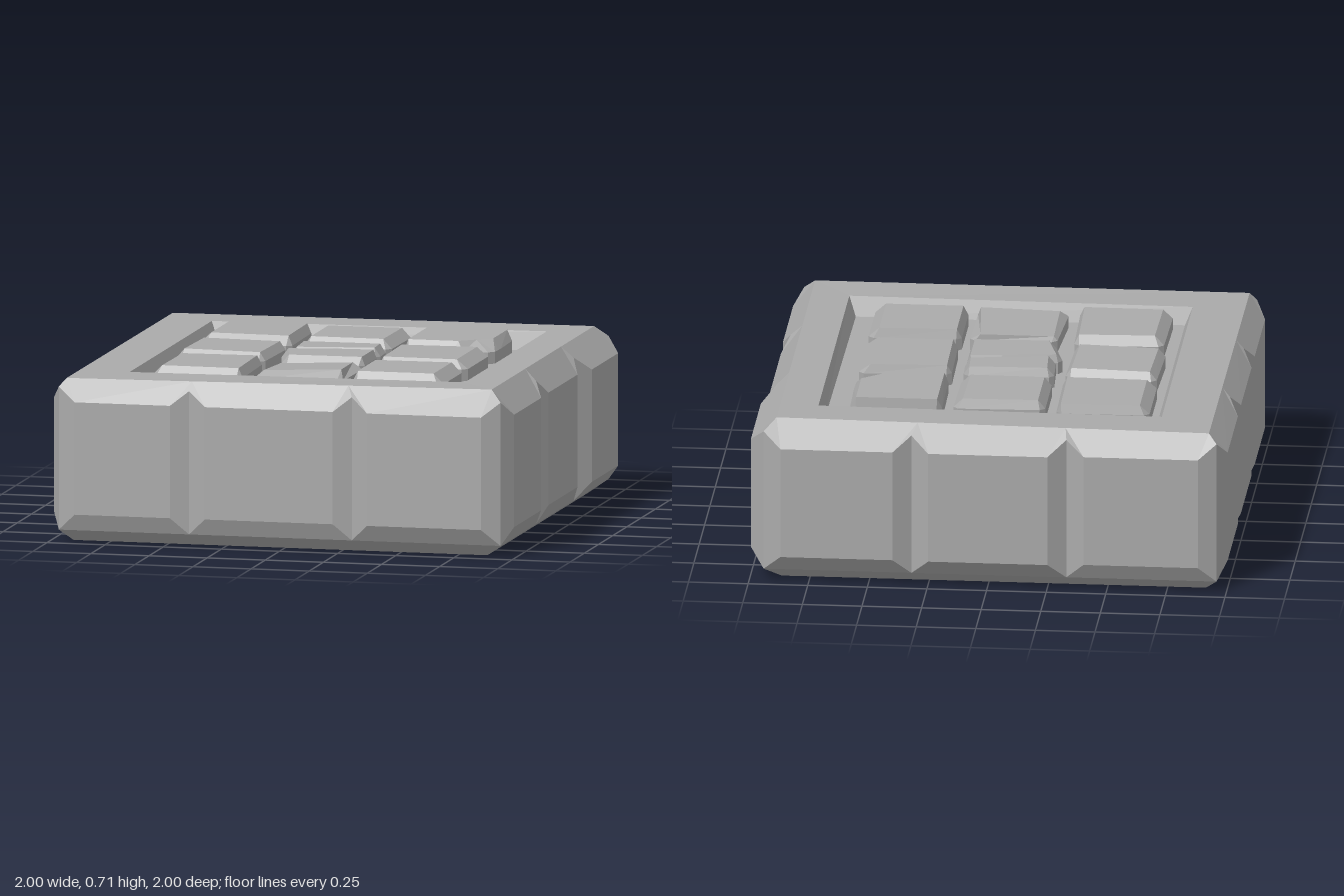
import * as THREE from 'three';

const stone = new THREE.MeshStandardMaterial({ color: 0xaaaaaa });
stone.name = 'grey stone';

// Skin a stack of equal-length loops (counter-clockwise from above, low to high) with flat faces.
function loft(name, loops, capBottom, capTop) {
  const pos = [];
  const [a, b, c] = [new THREE.Vector3(), new THREE.Vector3(), new THREE.Vector3()];
  const tri = (p, q, r) => {
    a.set(...p); b.set(...q); c.set(...r);
    if (b.sub(a).cross(c.sub(a)).length() > 1e-7) pos.push(...p, ...q, ...r);
  };
  const n = loops[0].length;
  for (let k = 0; k + 1 < loops.length; k++) {
    for (let i = 0; i < n; i++) {
      const j = (i + 1) % n, lo = loops[k], hi = loops[k + 1];
      tri(lo[i], lo[j], hi[j]);
      tri(lo[i], hi[j], hi[i]);
    }
  }
  const first = loops[0], last = loops[loops.length - 1];
  for (let i = 1; i + 1 < n; i++) {
    if (capBottom) tri(first[0], first[i + 1], first[i]);
    if (capTop) tri(last[0], last[i], last[i + 1]);
  }
  const g = new THREE.BufferGeometry();
  g.setAttribute('position', new THREE.Float32BufferAttribute(pos, 3));
  g.computeVertexNormals();
  const mesh = new THREE.Mesh(g, stone);
  mesh.name = name;
  return mesh;
}

// Sides in order front, right, back, left; t runs along a side, o points outward.
const place = [
  (t, o, y) => [t, y, o], (t, o, y) => [o, y, -t],
  (t, o, y) => [-t, y, -o], (t, o, y) => [-o, y, t],
];
const deep = [0.955, 0.94, 0.945, 0.96];
const grooves = [[-0.4, 0.3], [-0.33, 0.33], [-0.32, 0.33], [-0.32, 0.32]];
const faces = [[0.985, 0.985, 0.995], [0.98, 0.975, 1], [0.995, 1, 0.985], [1, 1, 1]];

// Four-cornered levels: front left, front right, back right, back left.
const baseRect = [[-0.91, 0, 0.9], [0.87, 0, 0.9], [0.87, 0, -0.88], [-0.91, 0, -0.88]];
const topRect = [[-0.93, 0.69, 0.94], [0.89, 0.702, 0.906], [0.89, 0.702, -0.895], [-0.925, 0.69, -0.908]];
const holeRect = [[-0.71, 0.692, 0.73], [0.73, 0.7, 0.725], [0.73, 0.7, -0.72], [-0.71, 0.692, -0.715]];
const floorRect = [[-0.68, 0.62, 0.7], [0.7, 0.62, 0.69], [0.71, 0.62, -0.695], [-0.68, 0.62, -0.69]];

// Chamfered side blocks separated by V grooves
function createBody() {
  const loops = [[], [], [], [], []];
  for (let s = 0; s < 4; s++) {
    const next = (s + 1) % 4, P = place[s], d = deep[s];
    const start = -deep[(s + 3) % 4], end = deep[next];
    const along = (rect, t) => {
      const f = (t - start) / (end - start);
      return rect[s].map((v, i) => v + (rect[next][i] - v) * f);
    };
    const stops = [start, ...grooves[s], end];
    const add = (t, anchor, o) => {
      const isDeep = o === undefined;
      loops[0].push(along(baseRect, anchor));
      loops[1].push(P(anchor, d, 0.05));
      loops[2].push(isDeep ? P(t, d, 0.05) : P(t, o, 0.12));
      loops[3].push(isDeep ? P(t, d, 0.655) : P(t, o, 0.595));
      loops[4].push(along(topRect, anchor));
    };
    for (let b = 0; b < 3; b++) {
      const [t0, t1] = [stops[b], stops[b + 1]];
      add(t0, t0);
      add(t0 + 0.075, t0, faces[s][b]);
      add(t1 - 0.075, t1, faces[s][b]);
    }
  }
  return loft('blockBody', loops, true, false);
}

// Tile with clipped corners and a bevelled top.
// outline: [x, z] points clockwise from above; inset: left, back, right, front
function createTile(name, { outline, inset = [0.03, 0.015, 0.03, 0.03], top, h = 0.71, tilt = [0, 0] }) {
  const xs = outline.map(p => p[0]), zs = outline.map(p => p[1]);
  const [x0, x1, z0, z1] = [Math.min(...xs), Math.max(...xs), Math.min(...zs), Math.max(...zs)];
  const [l, b, r, f] = inset;
  const upper = top || outline.map(([x, z]) => [
    x0 + l + (x - x0) / (x1 - x0) * (x1 - x0 - l - r),
    z0 + b + (z - z0) / (z1 - z0) * (z1 - z0 - b - f),
  ]);
  const cx = (x0 + x1) / 2, cz = (z0 + z1) / 2, n = outline.length;
  const loops = [[], [], []];
  for (let i = n - 1; i >= 0; i--) {
    const p = outline[i];
    for (const q of [outline[(i + 1) % n], outline[(i + n - 1) % n]]) {
      const k = 0.022 / Math.hypot(q[0] - p[0], q[1] - p[1]);
      const x = p[0] + (q[0] - p[0]) * k, z = p[1] + (q[1] - p[1]) * k;
      loops[0].push([x, 0.615, z]);
      loops[1].push([x, 0.67, z]);
      const [u, v] = upper[i];
      loops[2].push([u, h + (u - cx) * tilt[0] + (v - cz) * tilt[1], v]);
    }
  }
  return loft(name, loops, false, true);
}

const tiles = {
  backLeftTile: { outline: [[-0.65, -0.64], [-0.26, -0.645], [-0.255, -0.25], [-0.65, -0.26]], inset: [0.04, 0.012, 0.02, 0.035] },
  backMiddleTile: { outline: [[-0.21, -0.61], [0.175, -0.62], [0.17, -0.26], [-0.21, -0.265]], inset: [0.03, 0.015, 0.04, 0.03] },
  chippedTile: {
    outline: [[0.22, -0.64], [0.605, -0.64], [0.61, -0.38], [0.605, -0.29], [0.46, -0.26], [0.225, -0.26]],
    top: [[0.24, -0.635], [0.58, -0.635], [0.58, -0.39], [0.52, -0.34], [0.455, -0.285], [0.24, -0.285]], h: 0.714,
  },
  middleLeftTile: { outline: [[-0.64, -0.2], [-0.255, -0.175], [-0.265, 0.19], [-0.65, 0.16]], inset: [0.03, 0.025, 0.025, 0.03], h: 0.706 },
  crackedTileBack: { outline: [[-0.21, -0.18], [0.17, -0.19], [0.175, -0.045], [0, -0.02], [-0.2, 0.02]], inset: [0.03, 0.015, 0.025, 0.03], h: 0.708 },
  crackedTileFront: { outline: [[-0.23, 0.02], [0.02, -0.025], [0.17, -0.035], [0.17, 0.215], [-0.18, 0.225]], inset: [0.03, 0.015, 0.015, 0.03], h: 0.706 },
  middleRightTile: { outline: [[0.22, -0.18], [0.61, -0.195], [0.61, 0.2], [0.225, 0.195]], inset: [0.02, 0.012, 0.05, 0.03], h: 0.708 },
  frontLeftTile: { outline: [[-0.63, 0.26], [-0.255, 0.245], [-0.245, 0.665], [-0.635, 0.66]], inset: [0.04, 0.03, 0.02, 0.03] },
  tiltedTile: {
    outline: [[-0.18, 0.28], [0.185, 0.275], [0.18, 0.64], [-0.2, 0.65]],
    top: [[-0.165, 0.31], [0.14, 0.28], [0.165, 0.585], [-0.165, 0.6]], h: 0.7, tilt: [0.04, 0.05],
  },
  frontRightTile: { outline: [[0.22, 0.28], [0.61, 0.27], [0.61, 0.63], [0.22, 0.63]], inset: [0.02, 0.012, 0.045, 0.03], h: 0.712 },
};

export function createModel() {
  const model = new THREE.Group();
  model.name = 'stoneBlock';
  model.add(createBody());
  model.add(loft('topRim', [topRect, holeRect], false, false));
  model.add(loft('recess', [holeRect, floorRect], false, true));
  const panel = new THREE.Group();
  panel.name = 'tilePanel';
  for (const [name, spec] of Object.entries(tiles)) panel.add(createTile(name, spec));
  model.add(panel);
  return model;
}
